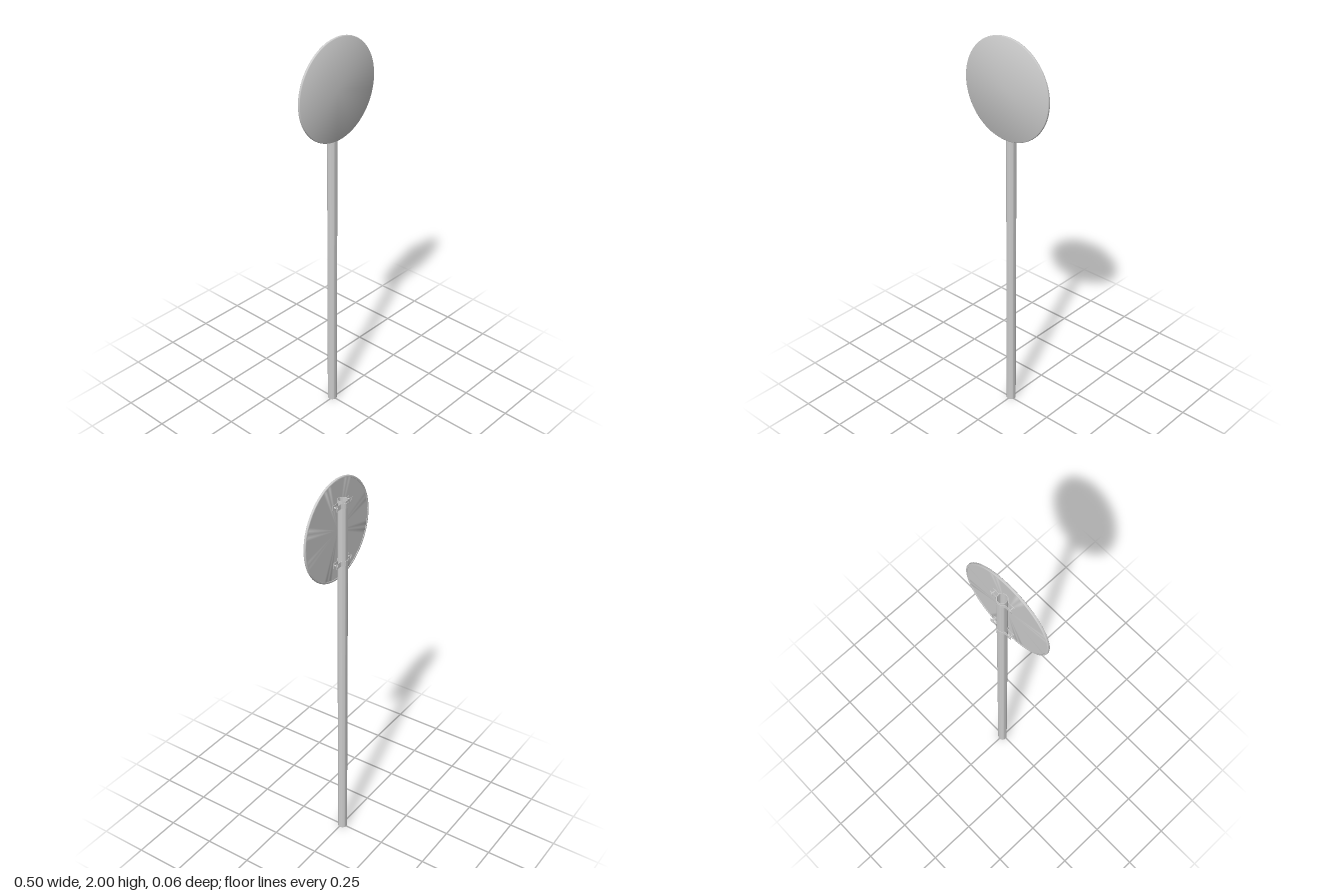
import * as THREE from 'three';
import { toCreasedNormals } from 'three/addons/utils/BufferGeometryUtils.js';

const material = new THREE.MeshStandardMaterial({ color: 0xcccccc });
const POLE_Z = -0.005, POLE_R = 0.024, POLE_TOP = 1.91;
const BAND_T = 0.002, BAND_H = 0.024, FLANGE = 0.0085;

function part(name, geometry, parent) {
  const mesh = new THREE.Mesh(geometry, material);
  mesh.name = name;
  parent.add(mesh);
  return mesh;
}

function lathe(points, segments, crease) {
  const profile = points.map(([r, y]) => new THREE.Vector2(r, y));
  return toCreasedNormals(new THREE.LatheGeometry(profile, segments), crease);
}

// Half clamp: an arc round the pole, flared into a flat flange on each side
function bandGeometry() {
  const r = POLE_R + BAND_T / 2, a = Math.asin(0.013 / r);
  const endX = r * Math.cos(a);
  const cornerX = endX + (0.013 - FLANGE) * Math.tan(a);
  const path = new THREE.Path();
  path.moveTo(-0.063, FLANGE);
  path.lineTo(-0.033, FLANGE);
  path.quadraticCurveTo(-cornerX, FLANGE, -endX, 0.013);
  path.absarc(0, 0, r, Math.PI - a, a, true);
  path.quadraticCurveTo(cornerX, FLANGE, 0.033, FLANGE);
  path.lineTo(0.063, FLANGE);

  // Thicken the centre line along its normals
  const line = path.getPoints(10);
  const side = (d) => line.map((p, i) => {
    const t = line[Math.min(i + 1, line.length - 1)].clone().sub(line[Math.max(i - 1, 0)]).normalize();
    return new THREE.Vector2(p.x - t.y * d, p.y + t.x * d);
  });
  const shape = new THREE.Shape([...side(-BAND_T / 2), ...side(BAND_T / 2).reverse()]);
  const geometry = new THREE.ExtrudeGeometry(shape, { depth: BAND_H, bevelEnabled: false });
  geometry.translate(0, 0, -BAND_H / 2).rotateX(Math.PI / 2);
  return toCreasedNormals(geometry, 0.7);
}

function createClamp(band) {
  const clamp = new THREE.Group();
  clamp.name = 'clamp';
  part('frontBand', band, clamp);
  part('backBand', band, clamp).rotation.y = Math.PI;

  // Bolt with a hexagonal head and nut on each side
  for (const x of [-0.053, 0.053]) {
    const bolt = new THREE.Group();
    bolt.name = 'bolt';
    bolt.position.x = x;
    bolt.rotation.x = Math.PI / 2;
    part('boltShaft', new THREE.CylinderGeometry(0.004, 0.004, 0.022, 16), bolt);
    const hex = toCreasedNormals(new THREE.CylinderGeometry(0.0075, 0.0075, 0.003, 6), 0.5);
    part('boltHead', hex, bolt).position.y = 0.011;
    part('boltNut', hex, bolt).position.y = -0.011;
    clamp.add(bolt);
  }
  return clamp;
}

export function createModel() {
  const model = new THREE.Group();
  model.name = 'roundSign';

  // Hollow pole, open at both ends
  const inner = POLE_R - 0.002;
  const pole = part('pole', lathe([
    [inner, 0], [POLE_R, 0], [POLE_R, POLE_TOP], [inner, POLE_TOP], [inner, 0],
  ], 40, 0.6), model);
  pole.position.z = POLE_Z;

  // Round plate with a rounded lip standing out at the back
  const plate = part('signPlate', lathe([
    [0, 0.022], [0.24, 0.022], [0.2405, 0.0195], [0.246, 0.0192], [0.2482, 0.0205],
    [0.2492, 0.0225], [0.2495, 0.025], [0.2492, 0.0277], [0.2482, 0.0297], [0.246, 0.031],
    [0, 0.031],
  ], 96, 0.7).rotateX(Math.PI / 2), model);
  plate.position.y = 1.7505;

  // Two clamps join the plate to the pole
  const band = bandGeometry();
  for (const y of [1.603, 1.888]) {
    const clamp = createClamp(band);
    clamp.position.set(0, y, POLE_Z);
    model.add(clamp);
  }
  return model;
}
